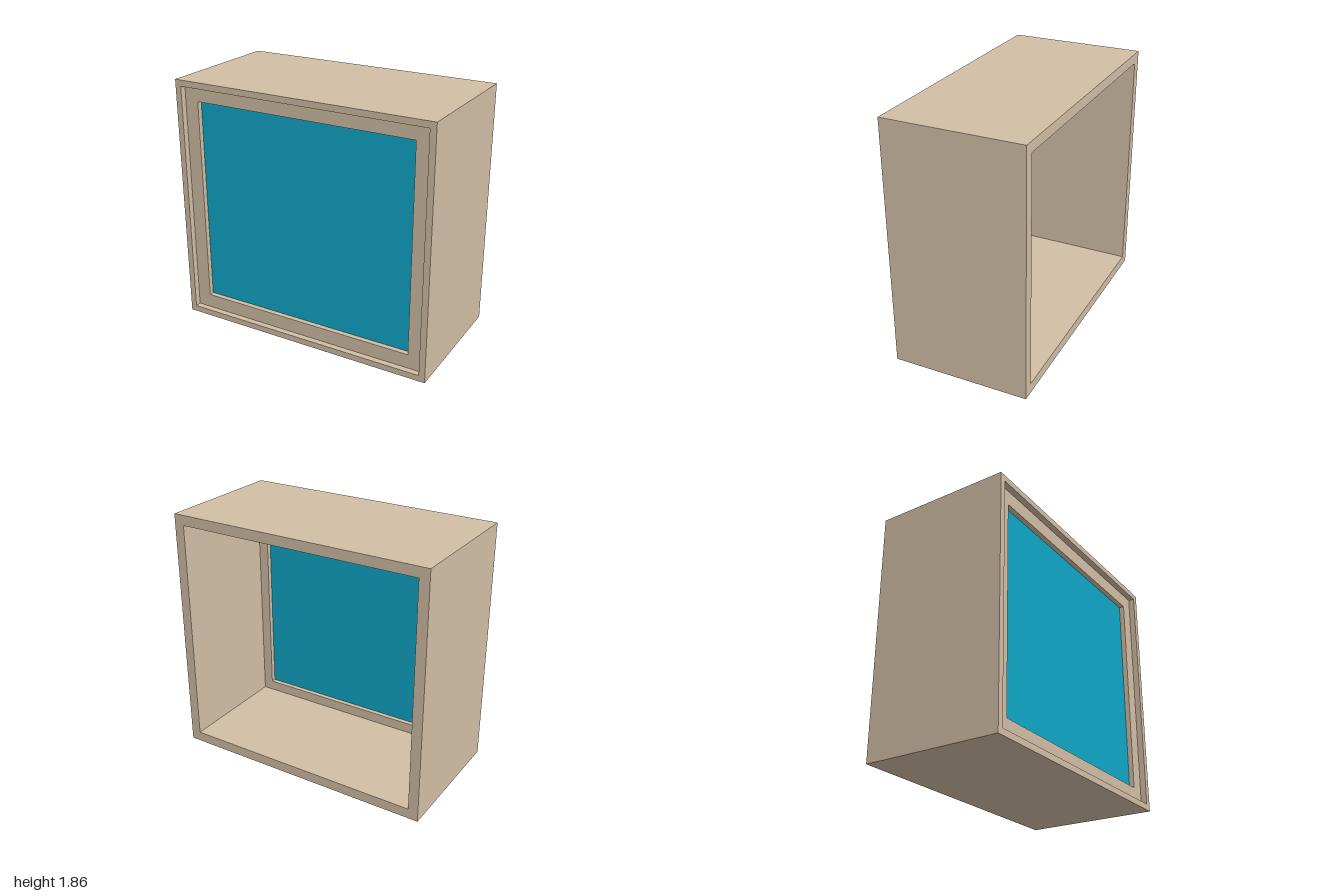
import * as THREE from 'three';

const HEIGHT = 1.855;

// Sweeps a closed profile of [inset from outer edge, z] around the rectangular outline
function rectangularSweep(profile) {
  const rings = profile.map(([inset, z]) => {
    const x = 1 - inset, bottom = inset, top = HEIGHT - inset;
    return [[-x, bottom, z], [x, bottom, z], [x, top, z], [-x, top, z]];
  });
  const positions = [];
  rings.forEach((a, i) => {
    const b = rings[(i + 1) % rings.length];
    for (let k = 0; k < 4; k++) {
      const n = (k + 1) % 4;
      positions.push(...a[k], ...b[k], ...b[n], ...a[k], ...b[n], ...a[n]);
    }
  });
  const geometry = new THREE.BufferGeometry();
  geometry.setAttribute('position', new THREE.Float32BufferAttribute(positions, 3));
  geometry.computeVertexNormals();
  return geometry;
}

export function createModel() {
  const group = new THREE.Group();
  group.name = 'boxWindow';

  // Deep casing: outer walls, open back, inner frame and shallow front rebate
  const casing = new THREE.Mesh(
    rectangularSweep([
      [0, 0.51], [0, -0.51],          // outer walls
      [0.076, -0.51], [0.076, 0.36],  // back rim and deep interior
      [0.153, 0.36], [0.153, 0.465],  // inner frame around the pane
      [0.046, 0.465], [0.046, 0.51],  // front rebate
    ]),
    new THREE.MeshStandardMaterial({ color: 0xd2bea5 })
  );
  casing.name = 'casing';
  group.add(casing);

  // Pane set midway in the inner frame
  const pane = new THREE.Mesh(
    new THREE.BoxGeometry(1.694, HEIGHT - 0.306, 0.03),
    new THREE.MeshStandardMaterial({ color: 0x0fa7c8 })
  );
  pane.name = 'pane';
  pane.position.set(0, HEIGHT / 2, 0.412);
  group.add(pane);

  return group;
}
